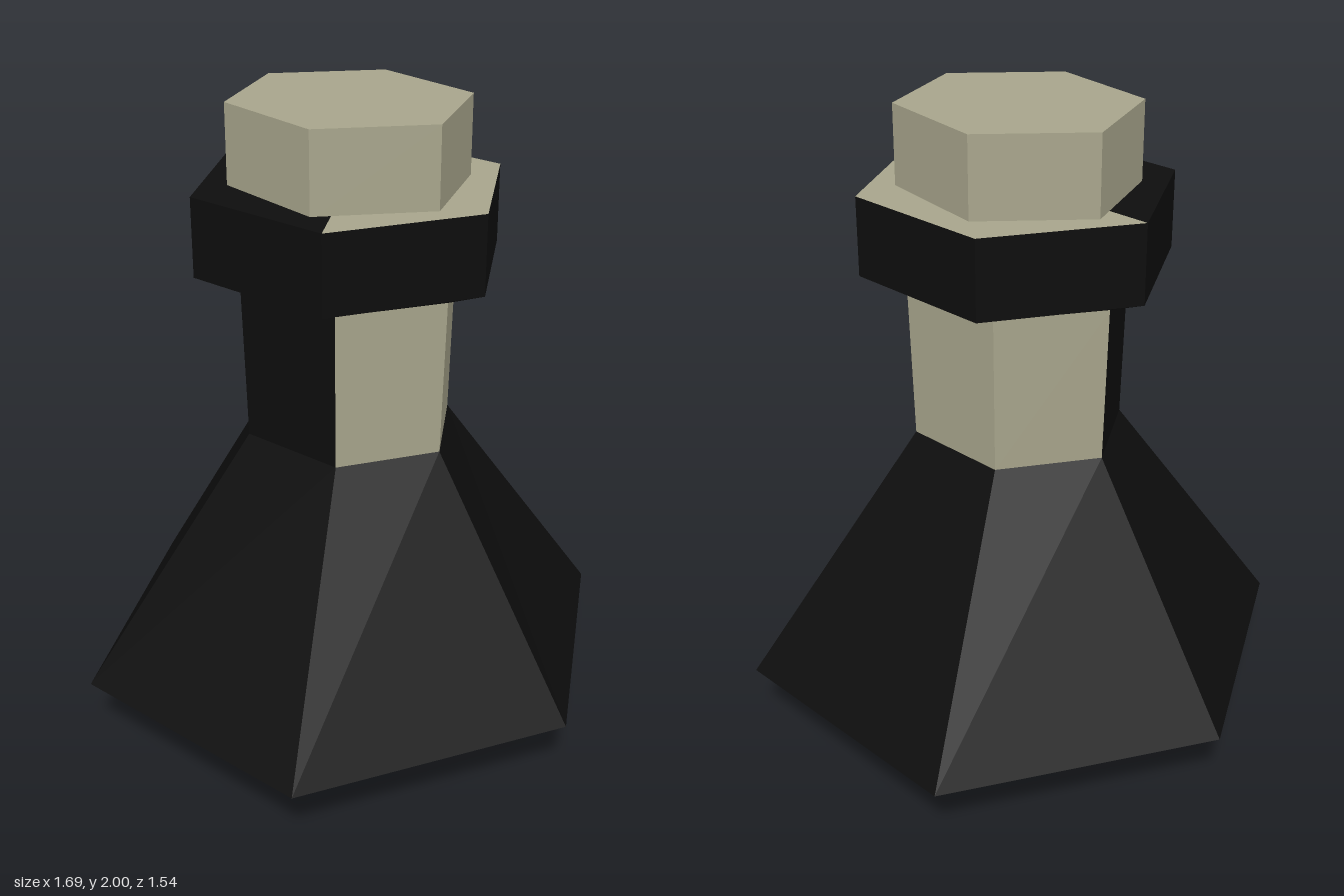
import * as THREE from 'three';

// Six-sided ring: vertices on +-x, with its own half width and half depth
function hex(y, halfWidth, halfDepth) {
  const xs = [1, 0.5, -0.5, -1, -0.5, 0.5];
  const zs = [0, 1, 1, 0, -1, -1];
  return xs.map((x, i) => new THREE.Vector3(x * halfWidth, y, zs[i] * halfDepth));
}

// Skins a stack of rings from bottom to top; the front and front-left-seen
// sectors (1 and 2) use material slot 1, all others slot 0
function skin(name, rings, materials) {
  const positions = [[], []];
  const add = (slot, a, b, c) => {
    if (a.equals(b) || b.equals(c) || a.equals(c)) return;
    for (const p of [a, b, c]) positions[slot].push(p.x, p.y, p.z);
  };
  for (let r = 0; r + 1 < rings.length; r++) {
    const low = rings[r], high = rings[r + 1];
    for (let i = 0; i < 6; i++) {
      const j = (i + 1) % 6;
      const slot = i === 1 || i === 2 ? 1 : 0;
      add(slot, low[j], low[i], high[i]);
      add(slot, low[j], high[i], high[j]);
    }
  }
  const geometry = new THREE.BufferGeometry();
  geometry.setAttribute('position', new THREE.Float32BufferAttribute([...positions[0], ...positions[1]], 3));
  geometry.addGroup(0, positions[0].length / 3, 0);
  geometry.addGroup(positions[0].length / 3, positions[1].length / 3, 1);
  geometry.computeVertexNormals();
  const mesh = new THREE.Mesh(geometry, materials);
  mesh.name = name;
  return mesh;
}

export function createModel() {
  const black = new THREE.MeshStandardMaterial({ color: 0x0d0d0d });
  black.name = 'blackGlass';
  const tan = new THREE.MeshStandardMaterial({ color: 0xa8a58c });
  tan.name = 'paleCork';

  const model = new THREE.Group();
  model.name = 'flask';

  const foot = hex(0, 0.56, 0.485);
  const shoulder = hex(0.99, 0.345, 0.275);
  const neckTop = hex(1.47, 0.36, 0.285);
  const rim = hex(1.76, 0.485, 0.41);

  // Flared body and its two-tone underside
  model.add(skin('body', [foot, hex(0.22, 0.845, 0.77), shoulder], [black, black]));
  model.add(skin('underside', [hex(0, 0, 0), foot], [tan, black]));

  // Neck: four pale faces, two black
  model.add(skin('neck', [shoulder, neckTop], [tan, black]));

  // Collar with chamfered lower edge, and its two-tone top
  model.add(skin('collar', [neckTop, hex(1.52, 0.485, 0.41), rim], [black, black]));
  model.add(skin('collarTop', [rim, hex(1.76, 0, 0)], [tan, black]));

  // Stopper: slightly turned, uneven hexagon
  const outline = [[0.37, 0.065], [0.13, 0.328], [-0.24, 0.263], [-0.375, -0.068], [-0.135, -0.33], [0.237, -0.266]];
  const stopperRing = (y) => outline.map(([x, z]) => new THREE.Vector3(x, y, z));
  model.add(skin('stopper', [stopperRing(1.75), stopperRing(2), hex(2, 0, 0)], [tan, tan]));

  return model;
}
